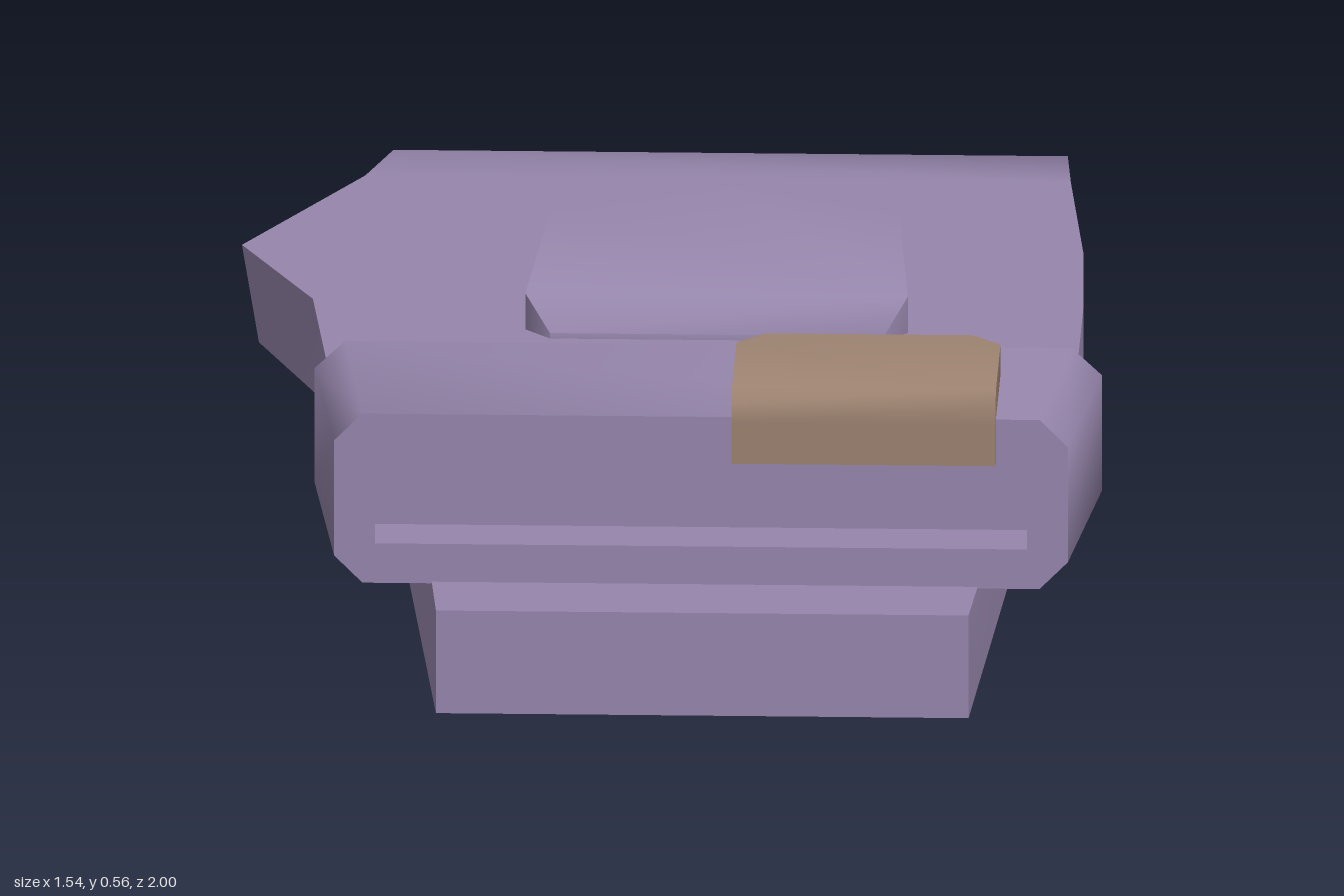
import * as THREE from 'three';
import { toCreasedNormals } from 'three/addons/utils/BufferGeometryUtils.js';

const CREASE = 0.9;
const purple = new THREE.MeshStandardMaterial({ color: 0x9686ac });
purple.name = 'purple';
const tan = new THREE.MeshStandardMaterial({ color: 0x9c8270 });
tan.name = 'tan';

// Fan convex polygons (arrays of Vector3-like triples) into a geometry
function fromPolygons(polygons) {
  const pos = [];
  for (const p of polygons)
    for (let i = 1; i < p.length - 1; i++) pos.push(...p[0], ...p[i], ...p[i + 1]);
  const g = new THREE.BufferGeometry();
  g.setAttribute('position', new THREE.Float32BufferAttribute(pos, 3));
  return toCreasedNormals(g, CREASE);
}

function mesh(name, geometry, material) {
  const m = new THREE.Mesh(geometry, material);
  m.name = name;
  return m;
}

// Strip folded over at the back, swept through four-cornered sections
function foldedStrip() {
  // outer z, outer y, inner z, inner y, outer left x, outer right x, inner left x, inner right x
  const rows = [
    [1, 0, 1, 0.19, -0.39, 0.55, -0.39, 0.55],
    [-0.77, 0, -0.77, 0.19, -0.555, 0.655, -0.525, 0.665],
    [-0.92, 0, -0.85, 0.19, -0.525, 0.66, -0.525, 0.665],
    [-1, 0.1, -0.85, 0.2, -0.5, 0.665, -0.53, 0.665],
    [-1, 0.34, -0.85, 0.24, -0.5, 0.665, -0.535, 0.665],
    [-0.92, 0.43, -0.85, 0.25, -0.525, 0.665, -0.535, 0.665],
    [-0.77, 0.43, -0.77, 0.25, -0.57, 0.675, -0.55, 0.675],
    [-0.36, 0.43, -0.36, 0.25, -0.775, 0.71, -0.745, 0.71],
    [-0.05, 0.43, -0.05, 0.25, -0.64, 0.72, -0.63, 0.72],
    [0.41, 0.43, 0.41, 0.25, -0.595, 0.72, -0.595, 0.72],
    [0.72, 0.43, 0.72, 0.25, -0.55, 0.69, -0.55, 0.69],
  ];
  const s = rows.map(([oz, oy, iz, iy, ol, or, il, ir]) =>
    [[ol, oy, oz], [or, oy, oz], [ir, iy, iz], [il, iy, iz]]);
  const polys = [s[0], [...s[s.length - 1]].reverse()];
  for (let i = 0; i < s.length - 1; i++)
    for (let j = 0; j < 4; j++) {
      const k = (j + 1) % 4;
      polys.push([s[i][j], s[i + 1][j], s[i + 1][k], s[i][k]]);
    }
  return fromPolygons(polys);
}

// Raised plate: convex [x, z] outline whose first two points form a lowered front edge
function bevelledPlate(outline, y0, y1, frontY) {
  const n = outline.length;
  const low = outline.map(([x, z]) => [x, y0, z]);
  const top = outline.map(([x, z], i) => [x, i < 2 ? frontY : y1, z]);
  const polys = [top.slice(2), [top[0], top[1], top[2], top[n - 1]], [...low].reverse()];
  for (let i = 0; i < n; i++) {
    const k = (i + 1) % n;
    polys.push([low[i], low[k], top[k], top[i]]);
  }
  return fromPolygons(polys);
}

// Tapered ring with chamfered corners
function ringBand() {
  const w = 0.6475, y0 = 0.187, y1 = 0.5, c = 0.05;
  const points = (list) => list.map(([x, y]) => new THREE.Vector2(x, y));
  const shape = new THREE.Shape(points([
    [-w + c, y0], [w - c, y0], [w, y0 + c], [w, y1 - c],
    [w - c, y1], [-w + c, y1], [-w, y1 - c], [-w, y0 + c],
  ]));
  shape.holes.push(new THREE.Path(points([
    [-0.575, 0.26], [-0.575, 0.43], [0.575, 0.43], [0.575, 0.26],
  ])));
  const g = new THREE.ExtrudeGeometry(shape, { depth: 0.42, bevelEnabled: false });
  const p = g.attributes.position;
  for (let i = 0; i < p.count; i++) {
    const z = p.getZ(i);
    // Wider toward the back
    p.setX(i, p.getX(i) * (1 + 0.073 * (1 - z / 0.42)) + 0.0725);
    p.setZ(i, z + 0.413);
  }
  return toCreasedNormals(g, CREASE);
}

export function createModel() {
  const group = new THREE.Group();
  group.name = 'foldedStrap';

  group.add(mesh('foldedStrip', foldedStrip(), purple));
  group.add(mesh('ringBand', ringBand(), purple));

  // Pointed button on the upper layer
  group.add(mesh('button', bevelledPlate([
    [-0.215, 0.167], [0.375, 0.167], [0.415, 0.115], [0.385, -0.365],
    [0.08, -0.52], [-0.23, -0.365], [-0.26, 0.115],
  ], 0.42, 0.497, 0.44), purple));

  // Clip hooked over the front edge of the band
  const clip = new THREE.Group();
  clip.name = 'clip';
  clip.add(mesh('clipPlate', bevelledPlate([
    [0.127, 0.853], [0.593, 0.853], [0.593, 0.83], [0.593, 0.57],
    [0.543, 0.517], [0.177, 0.517], [0.127, 0.57], [0.127, 0.83],
  ], 0.495, 0.555, 0.53), tan));
  const lip = mesh('clipLip', new THREE.BoxGeometry(0.466, 0.08, 0.022), tan);
  lip.position.set(0.36, 0.46, 0.842);
  clip.add(lip);
  group.add(clip);

  return group;
}
